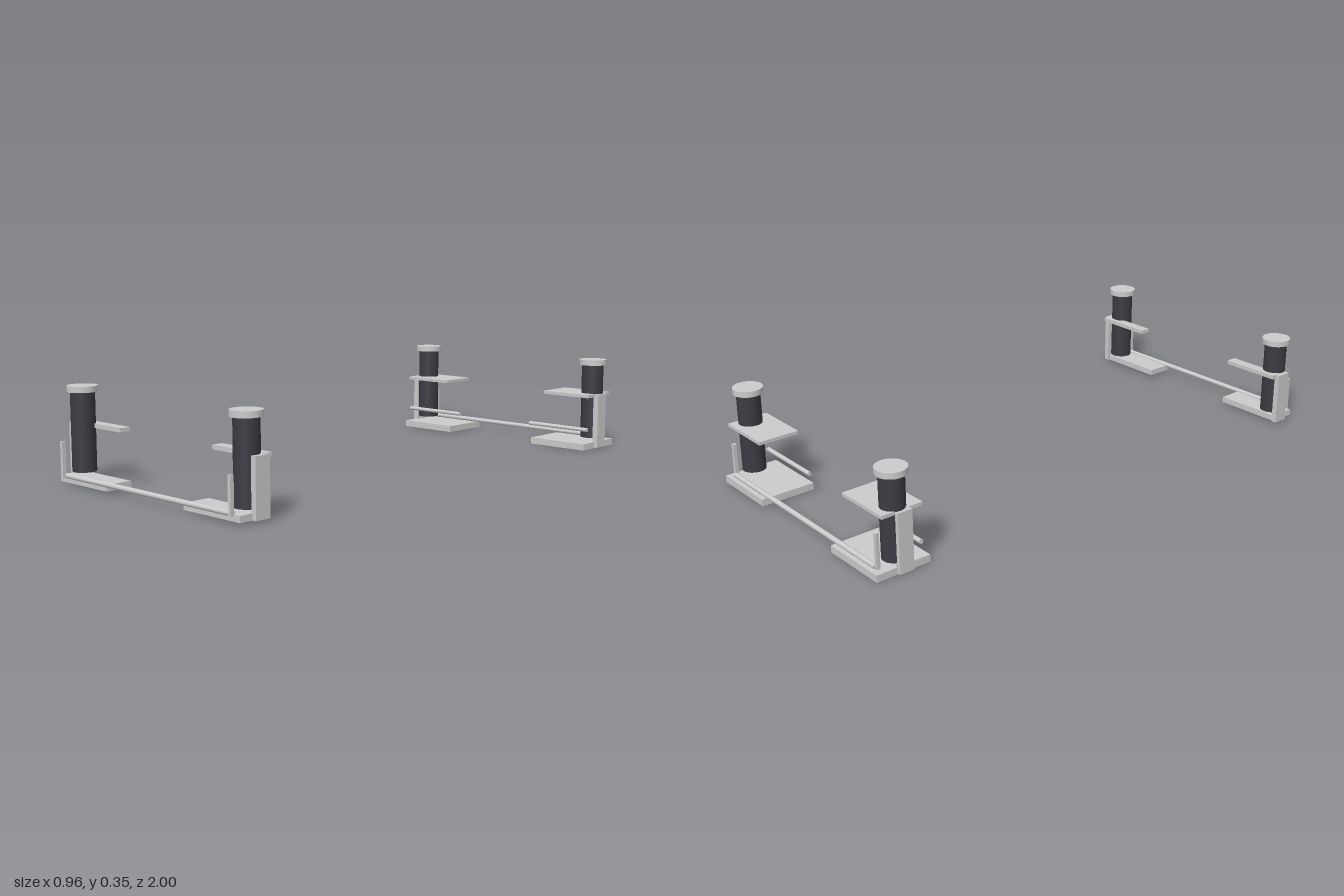
import * as THREE from 'three';

const grey = new THREE.MeshStandardMaterial({ color: 0xcccccc });
const dark = new THREE.MeshStandardMaterial({ color: 0x3b3b42 });

// Box given by its limits on each axis
function box(name, [x0, x1], [y0, y1], [z0, z1]) {
  const mesh = new THREE.Mesh(
    new THREE.BoxGeometry(Math.abs(x1 - x0), y1 - y0, Math.abs(z1 - z0)), grey);
  mesh.position.set((x0 + x1) / 2, (y0 + y1) / 2, (z0 + z1) / 2);
  mesh.name = name;
  return mesh;
}

// Upright cylinder between two heights
function column(name, r, x, [y0, y1], z, material) {
  const mesh = new THREE.Mesh(new THREE.CylinderGeometry(r, r, y1 - y0, 32), material);
  mesh.position.set(x, (y0 + y1) / 2, z);
  mesh.name = name;
  return mesh;
}

// Horizontal round bar along x
function rod(name, r, [x0, x1], y, z) {
  const mesh = new THREE.Mesh(
    new THREE.CylinderGeometry(r, r, Math.abs(x1 - x0), 16).rotateZ(Math.PI / 2), grey);
  mesh.position.set((x0 + x1) / 2, y, z);
  mesh.name = name;
  return mesh;
}

const ends = {
  front: {
    x: 0.42, z: 0.917, column: [0.04, 0.315], cap: [0.315, 0.336],
    base: [[0.2, 0.463], [0.008, 0.03], [0.885, 0.985]],
    shelf: [[0.237, 0.465], [0.19, 0.205], [0.857, 0.897]],
    post: [[0.458, 0.478], [0.008, 0.203], [0.877, 0.935]],
    pin: [[0.427, 0.439], [0.025, 0.15], [0.986, 1.0]],
    bar: [0.031, 0.983],
  },
  rear: {
    x: 0.427, z: -0.905, column: [0.04, 0.329], cap: [0.329, 0.35],
    base: [[0.212, 0.465], [0, 0.025], [-1, -0.797]],
    shelf: [[0.252, 0.465], [0.205, 0.217], [-0.972, -0.82]],
    post: [[0.458, 0.48], [0.005, 0.215], [-0.923, -0.869]],
    pin: [[0.427, 0.439], [0.025, 0.15], [-0.98, -0.967]],
    bar: [0.034, -0.979],
    guide: [0.078, -0.826],
  },
};

export function createModel() {
  const model = new THREE.Group();
  for (const [end, d] of Object.entries(ends)) {
    const group = new THREE.Group();
    group.name = end + 'Assembly';

    // Matching left and right stations
    for (const side of [1, -1]) {
      const station = new THREE.Group();
      station.name = end + (side > 0 ? 'LeftStation' : 'RightStation');
      for (const part of ['base', 'shelf', 'post', 'pin']) {
        const [x, y, z] = d[part];
        station.add(box(part, x.map((v) => v * side), y, z));
      }
      station.add(
        column('column', 0.042, side * d.x, d.column, d.z, dark),
        column('cap', 0.053, side * d.x, d.cap, d.z, grey));
      if (d.guide) station.add(rod('guideRod', 0.008, [side * 0.184, side * 0.46], ...d.guide));
      group.add(station);
    }

    // Bar joining the two stations
    group.add(rod('crossBar', 0.009, [-0.43, 0.43], ...d.bar));
    model.add(group);
  }
  return model;
}
